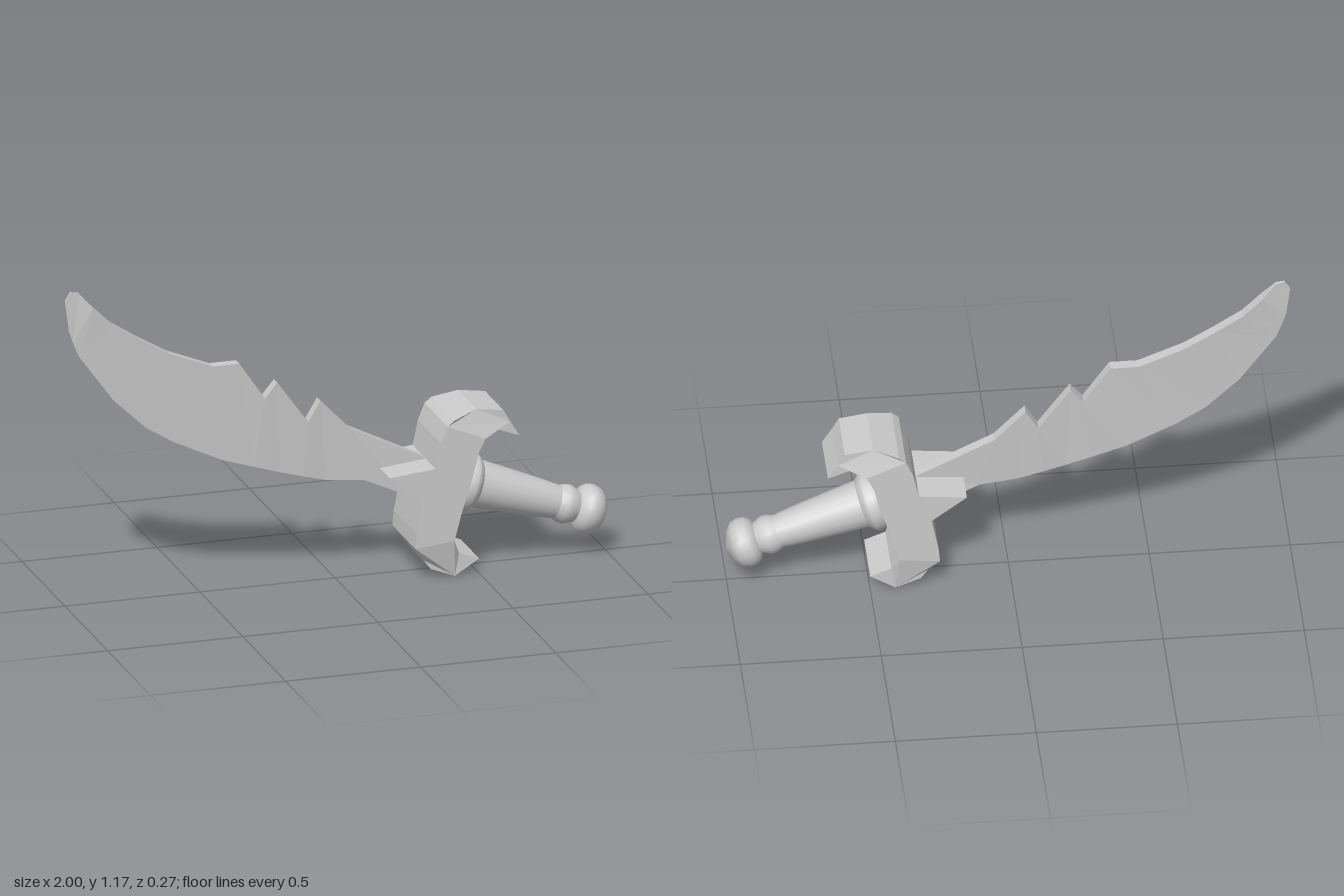
import * as THREE from 'three';

const steel = new THREE.MeshStandardMaterial({ color: 0xcccccc, flatShading: true });
const smooth = new THREE.MeshStandardMaterial({ color: 0xcccccc });

function part(name, geometry, material) {
  const mesh = new THREE.Mesh(geometry, material);
  mesh.name = name;
  return mesh;
}

// Curved wedge blade: thick notched spine above, sharp cutting edge below
function makeBlade() {
  // each station: spine x, y, half thickness, then edge x, y, half thickness
  const stations = [
    [-0.98, 1.17, 0.005, -1.0, 1.14, 0.002],
    [-0.95, 1.165, 0.007, -0.985, 1.025, 0.002],
    [-0.90, 1.11, 0.02, -0.97, 0.98, 0.002],
    [-0.83, 1.04, 0.02, -0.95, 0.93, 0.002],
    [-0.73, 0.975, 0.02, -0.82, 0.75, 0.002],
    [-0.62, 0.91, 0.02, -0.70, 0.635, 0.002],
    [-0.46, 0.845, 0.02, -0.595, 0.57, 0.002],
    [-0.36, 0.845, 0.02, -0.42, 0.486, 0.002],
    [-0.265, 0.705, 0.02, -0.30, 0.447, 0.002],
    [-0.22, 0.76, 0.02, -0.205, 0.417, 0.002],
    [-0.105, 0.60, 0.02, -0.12, 0.393, 0.002],
    [-0.06, 0.675, 0.02, -0.035, 0.37, 0.002],
    [0.05, 0.56, 0.02, 0.105, 0.358, 0.01],
    [0.33, 0.42, 0.02, 0.265, 0.285, 0.02],
  ];
  const pos = [], idx = [];
  for (const [tx, ty, tz, bx, by, bz] of stations) {
    pos.push(tx, ty, tz, tx, ty, -tz, bx, by, -bz, bx, by, bz);
  }
  const last = (stations.length - 1) * 4;
  for (let s = 0; s < last; s += 4) {
    for (let k = 0; k < 4; k++) {
      const a = s + k, b = s + (k + 1) % 4;
      idx.push(a, a + 4, b, b, a + 4, b + 4);
    }
  }
  idx.push(0, 1, 2, 0, 2, 3);
  idx.push(last, last + 2, last + 1, last, last + 3, last + 2);
  const geo = new THREE.BufferGeometry();
  geo.setAttribute('position', new THREE.Float32BufferAttribute(pos, 3));
  geo.setIndex(idx);
  const flat = geo.toNonIndexed();
  flat.computeVertexNormals();
  return part('blade', flat, steel);
}

// Hooked cross guard with a spike toward the blade; the hooks are narrower
function makeGuard() {
  const outline = [
    [0.16, 0.40], [0.285, 0.305], [0.26, 0.18], [0.255, 0.125], [0.295, 0.07],
    [0.32, 0.035], [0.41, 0.0], [0.50, 0.055], [0.425, 0.085], [0.40, 0.14],
    [0.425, 0.235], [0.47, 0.38], [0.49, 0.46], [0.515, 0.51], [0.57, 0.53],
    [0.65, 0.50], [0.615, 0.555], [0.59, 0.60], [0.49, 0.615], [0.40, 0.59],
    [0.375, 0.57], [0.35, 0.51], [0.33, 0.417],
  ].map(([x, y]) => new THREE.Vector2(x, y));
  const geo = new THREE.ExtrudeGeometry(new THREE.Shape(outline), { depth: 1, bevelEnabled: false });
  const p = geo.attributes.position;
  for (let i = 0; i < p.count; i++) {
    const x = p.getX(i), y = p.getY(i);
    const hook = y < 0.1 || (y > 0.52 && x > 0.45) || x > 0.6;
    const half = hook ? 0.108 : 0.135;
    p.setZ(i, p.getZ(i) > 0.5 ? half : -half);
  }
  geo.computeVertexNormals();
  return part('crossGuard', geo, steel);
}

// Turned parts share one axis, with the profile given as [radius, distance]
function turned(name, profile) {
  const points = profile.map(([r, s]) => new THREE.Vector2(r, s));
  return part(name, new THREE.LatheGeometry(points, 18), smooth);
}

function makeHilt() {
  const hilt = new THREE.Group();
  hilt.name = 'hilt';
  hilt.add(
    turned('collar', [[0, -0.04], [0.1, -0.03], [0.108, 0.02], [0.112, 0.04], [0.105, 0.055], [0.088, 0.07]]),
    turned('grip', [[0.088, 0.06], [0.084, 0.12], [0.07, 0.3], [0.06, 0.39]]),
    turned('gripRing', [[0.06, 0.385], [0.07, 0.41], [0.071, 0.43], [0.062, 0.45], [0.056, 0.465]]),
    turned('pommel', [[0.056, 0.462], [0.076, 0.472], [0.088, 0.49], [0.091, 0.512], [0.084, 0.538], [0.062, 0.56], [0, 0.582]]),
  );
  hilt.position.set(0.45, 0.322, 0);
  hilt.rotation.z = -Math.PI / 2 - 0.325;
  return hilt;
}

export function createModel() {
  const model = new THREE.Group();
  model.name = 'curvedSword';
  model.add(makeBlade(), makeGuard(), makeHilt());
  return model;
}
